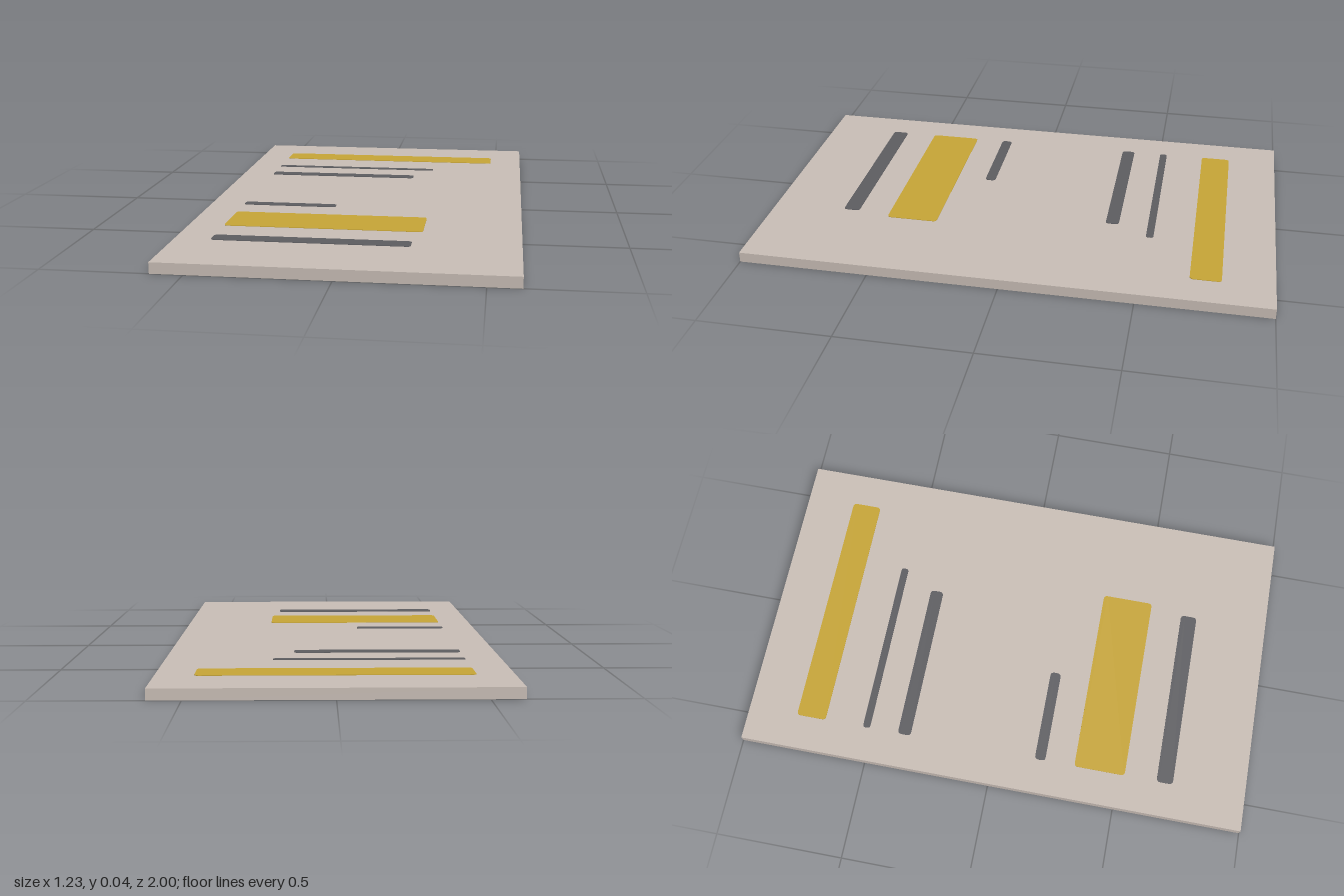
import * as THREE from 'three';

const material = (name, color) => {
  const m = new THREE.MeshStandardMaterial({ color });
  m.name = name;
  return m;
};

// Flat rounded bar lying on the slab, given by its x and z limits
function bar(name, mat, x0, x1, z0, z1, y) {
  const r = Math.min(0.015, (z1 - z0) * 0.4);
  const s = new THREE.Shape();
  // Shape y becomes -z once laid flat
  s.moveTo(x0 + r, -z1);
  s.lineTo(x1 - r, -z1);
  s.quadraticCurveTo(x1, -z1, x1, -z1 + r);
  s.lineTo(x1, -z0 - r);
  s.quadraticCurveTo(x1, -z0, x1 - r, -z0);
  s.lineTo(x0 + r, -z0);
  s.quadraticCurveTo(x0, -z0, x0, -z0 - r);
  s.lineTo(x0, -z1 + r);
  s.quadraticCurveTo(x0, -z1, x0 + r, -z1);
  const g = new THREE.ExtrudeGeometry(s, { depth: 0.002, bevelEnabled: false, curveSegments: 4 });
  g.rotateX(-Math.PI / 2);
  const mesh = new THREE.Mesh(g, mat);
  mesh.name = name;
  mesh.position.y = y;
  return mesh;
}

export function createModel() {
  const group = new THREE.Group();
  group.name = 'printedPanel';
  const stone = material('warm grey', 0xcbc0b8);
  const gold = material('gold', 0xc9a737);
  const dark = material('dark grey', 0x5e5e62);
  const h = 0.04;

  // Panel
  const panel = new THREE.Mesh(new THREE.BoxGeometry(1.232, h, 2), stone);
  panel.name = 'panel';
  panel.position.y = h / 2;
  group.add(panel);

  // Printed bars, all aligned to one margin: right end, back edge, front edge
  const margin = -0.483;
  const bars = [
    ['headingBar', gold, 0.48, -0.805, -0.688],
    ['thinLine', dark, 0.222, -0.534, -0.505],
    ['upperLine', dark, 0.146, -0.391, -0.339],
    ['shortLine', dark, -0.115, 0.165, 0.207],
    ['accentBlock', gold, 0.258, 0.324, 0.525],
    ['lowerLine', dark, 0.23, 0.652, 0.716],
  ];
  for (const [name, mat, x1, z0, z1] of bars) group.add(bar(name, mat, margin, x1, z0, z1, h));

  return group;
}
